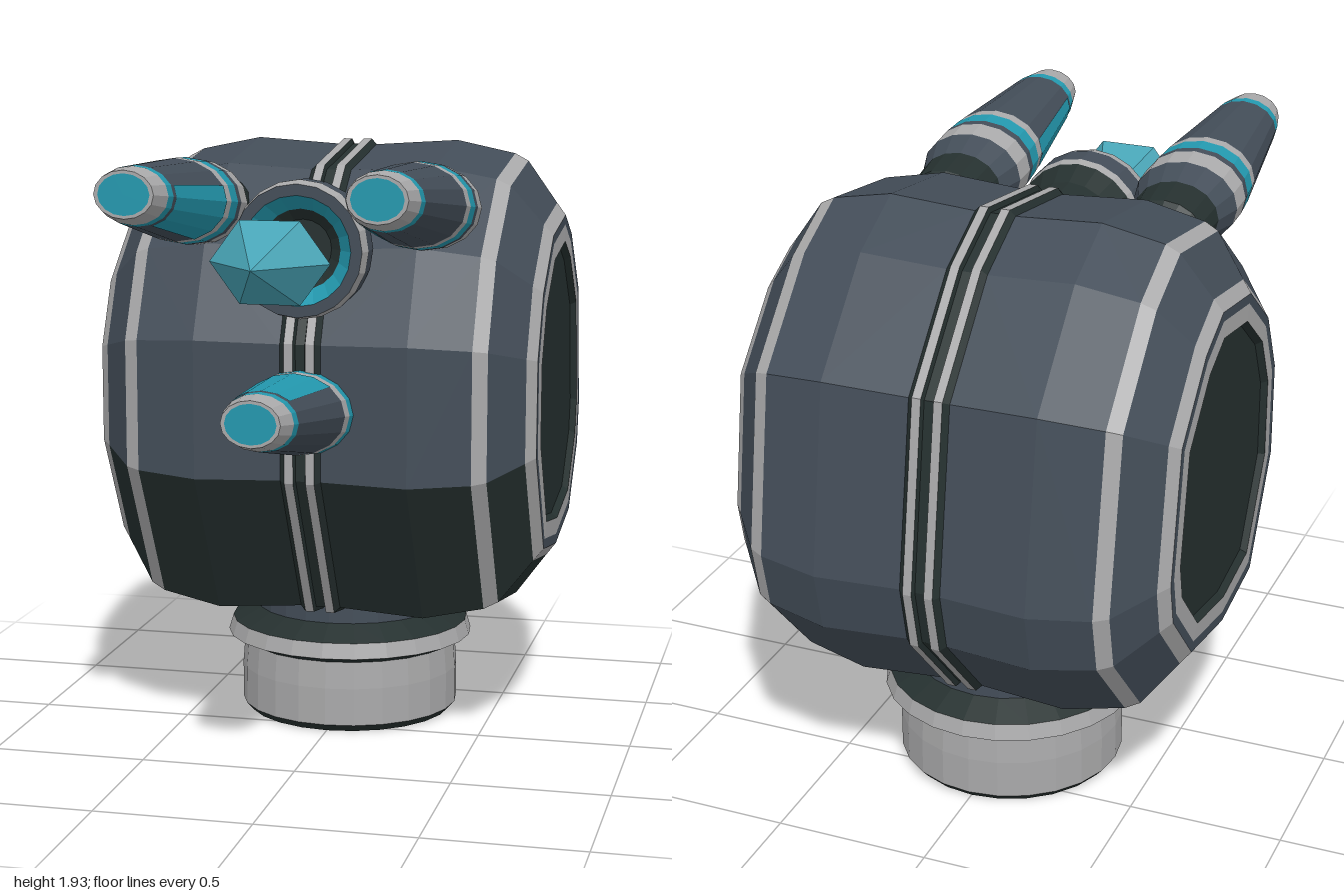
import * as THREE from 'three';

const mat = (name, color, side = THREE.FrontSide) => {
  const m = new THREE.MeshStandardMaterial({ color, flatShading: true, side });
  m.name = name;
  return m;
};
const M = {
  slate: mat('slate', 0x434d58),
  pale: mat('pale grey', 0xa9a9aa),
  dark: mat('dark green black', 0x25302f),
  teal: mat('teal', 0x2398ae),
  gem: mat('gem teal', 0x48a4b6),
};

function add(parent, name, geometry, material) {
  const mesh = new THREE.Mesh(geometry, material);
  mesh.name = name;
  parent.add(mesh);
  return mesh;
}

// Turned part: each band is [material, [radius, height], ...], bottom to top
function turned(name, bands, sides) {
  const g = new THREE.Group();
  g.name = name;
  bands.forEach(([key, ...pts], i) => add(g, `${name}Band${i}`,
    new THREE.LatheGeometry(pts.map(([r, y]) => new THREE.Vector2(r, y)), sides), M[key]));
  return g;
}

// Body outline as [z, y], from the top towards the back and round
const OUTLINE = [[0, 1.87], [-0.39, 1.93], [-0.61, 1.82], [-0.9, 1.52], [-1, 0.925], [-0.957, 0.73],
  [-0.69, 0.44], [-0.25, 0.365], [0.157, 0.43], [0.43, 0.91], [0.43, 1.35], [0.29, 1.64]];
const CENTRE = [-0.283, 1.15];
const DARK_FACETS = [6, 7, 8];

// Sections outward from the middle: x, outline scale, colour of the band that ends there
const SECTIONS = [[0, 0.978], [0.015, 0.978, 'dark'], [0.02, 1, 'dark'], [0.048, 1, 'pale'],
  [0.065, 0.977, 'dark'], [0.34, 1, 'slate'], [0.535, 0.948, 'slate'], [0.58, 0.918, 'pale'],
  [0.68, 0.745, 'slate'], [0.71, 0.695, 'pale'], [0.71, 0.655, 'slate'], [0.712, 0.585, 'pale'],
  [0.692, 0.565, 'dark'], [0.692, 0, 'dark']];

function body() {
  const g = new THREE.Group();
  g.name = 'body';
  const faces = {};
  const at = (x, s, i) => {
    const [z, y] = OUTLINE[i % OUTLINE.length];
    return [x, CENTRE[1] + (y - CENTRE[1]) * s, CENTRE[0] + (z - CENTRE[0]) * s];
  };
  for (const side of [1, -1]) {
    for (let k = 1; k < SECTIONS.length; k++) {
      const [x0, s0] = SECTIONS[k - 1], [x1, s1, key] = SECTIONS[k];
      for (let i = 0; i < OUTLINE.length; i++) {
        const a = at(side * x0, s0, i), b = at(side * x0, s0, i + 1);
        const c = at(side * x1, s1, i + 1), d = at(side * x1, s1, i);
        const colour = key === 'slate' && x1 < 0.7 && DARK_FACETS.includes(i) ? 'dark' : key;
        const list = (faces[colour] ??= []);
        if (side > 0) list.push(...a, ...d, ...c, ...a, ...c, ...b);
        else list.push(...a, ...c, ...d, ...a, ...b, ...c);
      }
    }
  }
  for (const key in faces) {
    const geo = new THREE.BufferGeometry();
    geo.setAttribute('position', new THREE.Float32BufferAttribute(faces[key], 3));
    geo.computeVertexNormals();
    add(g, `${key}Shell`, geo, M[key]);
  }
  return g;
}

// Flattened tapering prong along z, with a teal inlay centred on the angle `facing`
function prong(name, x, tipY, facing) {
  const g = turned(name, [
    ['dark', [0, 0.03], [0.09, 0.04], [0.13, 0.08], [0.14, 0.2]],
    ['slate', [0.14, 0.2], [0.172, 0.29]],
    ['pale', [0.172, 0.29], [0.174, 0.37]],
    ['slate', [0.174, 0.37], [0.172, 0.4]],
    ['teal', [0.172, 0.4], [0.168, 0.46]],
    ['pale', [0.168, 0.46], [0.163, 0.5]],
    ['slate', [0.163, 0.5], [0.115, 0.885]],
    ['teal', [0.115, 0.885], [0.11, 0.92]],
    ['pale', [0.11, 0.92], [0.09, 1], [0.078, 1]],
    ['teal', [0.078, 1], [0, 1]],
  ], 16);
  const span = Math.PI / 2;
  const inlay = [[0.165, 0.5], [0.119, 0.87]].map(p => new THREE.Vector2(...p));
  // a lathe angle a points to (sin a, -cos a) once the prong lies along z
  add(g, 'inlay', new THREE.LatheGeometry(inlay, 4, facing + Math.PI / 2 - span / 2, span), M.teal);
  const slope = 0.115;
  const lean = new THREE.Matrix4().set(1, 0, 0, x, 0, 0.78, slope, tipY - slope, 0, 0, 1, 0, 0, 0, 0, 1);
  g.children.forEach(m => m.geometry.rotateX(Math.PI / 2).applyMatrix4(lean));
  return g;
}

export function createModel() {
  const model = new THREE.Group();
  model.name = 'roundedDevice';
  model.add(body());

  // Neck and pedestal
  const base = turned('pedestal', [
    ['dark', [0, 0], [0.345, 0], [0.367, 0.025]],
    ['pale', [0.367, 0.025], [0.367, 0.15], [0.36, 0.24]],
    ['dark', [0.36, 0.24], [0.415, 0.265]],
    ['pale', [0.415, 0.265], [0.4, 0.315]],
    ['dark', [0.4, 0.315], [0.315, 0.36]],
    ['slate', [0.315, 0.36], [0.31, 0.6]],
  ], 24);
  base.position.z = CENTRE[0];
  model.add(base);

  // Prongs, with inlays turned towards the gem
  model.add(prong('leftProng', 0.37, 1.85, Math.PI * 1.13));
  model.add(prong('rightProng', -0.37, 1.85, -Math.PI * 0.13));
  model.add(prong('lowerProng', 0, 1.2, Math.PI / 2));

  // Round socket behind the gem
  const socket = turned('socket', [
    ['dark', [0.16, 0.1], [0.17, 0.22], [0.205, 0.3]],
    ['pale', [0.205, 0.3], [0.212, 0.33]],
    ['slate', [0.212, 0.33], [0.215, 0.41]],
    ['pale', [0.215, 0.41], [0.205, 0.455]],
    ['slate', [0.205, 0.455], [0.17, 0.455]],
    ['teal', [0.17, 0.455], [0.125, 0.4]],
    ['dark', [0.125, 0.4], [0.09, 0.37], [0, 0.37]],
  ], 20);
  socket.rotation.x = Math.PI / 2;
  socket.position.y = 1.64;
  model.add(socket);

  // Floating gem: six-sided double point
  const gem = turned('gem', [['gem', [0, 0.475], [0.183, 0.775], [0, 0.99]]], 6);
  gem.children[0].geometry.rotateY(Math.PI / 6).rotateX(Math.PI / 2).scale(1, 0.78, 1);
  gem.position.y = 1.64;
  model.add(gem);

  return model;
}
